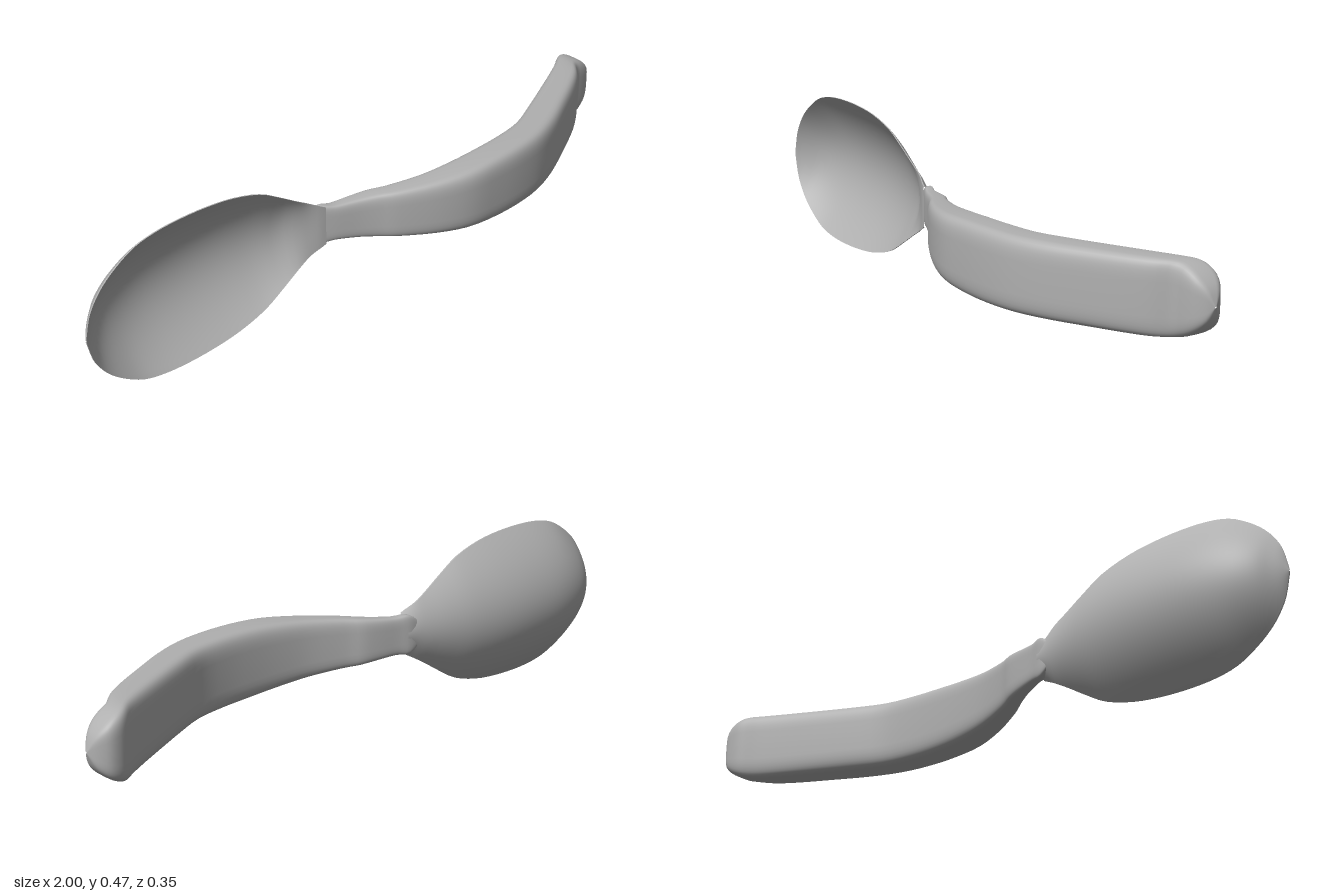
import * as THREE from 'three';

const CENTER_Y = 0.239;

// Smoothly resample a short table of stations, each row [x, ...values]
function resample(rows, steps) {
  const times = rows.map((_, i) => i);
  const spline = new THREE.CubicInterpolant(times, rows.flat(), rows[0].length);
  const out = [];
  for (let i = 0; i <= (rows.length - 1) * steps; i++) out.push([...spline.evaluate(i / steps)]);
  return out;
}

// Skin a list of cross-sections; each section is a list of [x, y, z]
function loft(sections, closed, flip = false) {
  const n = sections[0].length;
  const index = [];
  for (let i = 0; i < sections.length - 1; i++) {
    for (let j = 0; j < (closed ? n : n - 1); j++) {
      const k = (j + 1) % n;
      const a = i * n + j, b = i * n + k, c = a + n, d = b + n;
      if (flip) index.push(a, c, b, b, c, d);
      else index.push(a, b, c, b, d, c);
    }
  }
  const geo = new THREE.BufferGeometry();
  geo.setAttribute('position', new THREE.Float32BufferAttribute(sections.flat(2), 3));
  geo.setIndex(index);
  geo.computeVertexNormals();
  return geo;
}

export function createModel() {
  const group = new THREE.Group();
  const metal = new THREE.MeshStandardMaterial({ color: 0xb0b0b0 });
  metal.name = 'greyMetal';
  const add = (name, geo) => {
    const mesh = new THREE.Mesh(geo, metal);
    mesh.name = name;
    group.add(mesh);
  };

  // Bowl stations: x, half width, z of the back
  const bowl = resample([
    [-1, 0.002, -0.052], [-0.985, 0.065, -0.07], [-0.965, 0.105, -0.09], [-0.935, 0.143, -0.118],
    [-0.89, 0.18, -0.143], [-0.83, 0.214, -0.161], [-0.76, 0.23, -0.172], [-0.68, 0.235, -0.175],
    [-0.59, 0.232, -0.171], [-0.5, 0.22, -0.159], [-0.41, 0.193, -0.139], [-0.34, 0.152, -0.117],
    [-0.28, 0.113, -0.096], [-0.23, 0.083, -0.079], [-0.19, 0.061, -0.068],
  ], 3);
  const rim = (x) => -0.047 + 0.016 * THREE.MathUtils.smoothstep(x, -0.25, -0.18);

  // Parabolic section between the rim and the deepest point
  const bowlSections = (inner) => bowl.map(([x, w, back]) => {
    const top = rim(x);
    const fade = 1 - THREE.MathUtils.smoothstep(x, -0.32, -0.2);
    const edge = inner ? top : top - 0.004;
    const bottom = inner ? top - Math.max(0, top - back - 0.01) * fade : back;
    return Array.from({ length: 33 }, (_, j) => {
      const s = j / 16 - 1;
      return [x, CENTER_Y + w * s, edge + (bottom - edge) * (1 - s * s)];
    });
  });
  const outer = bowlSections(false), inside = bowlSections(true);
  add('bowlBack', loft(outer, false));
  add('bowlInside', loft(inside, false, true));

  // Thin rim joining the two bowl faces
  for (const [name, j, flip] of [['upperRim', 32, false], ['lowerRim', 0, true]]) {
    add(name, loft(outer.map((s, i) => [s[j], inside[i][j]]), false, flip));
  }

  // Handle stations: x, half height, z of the back, z of the front
  const handle = resample([
    [-0.24, 0.03, -0.072, -0.058], [-0.2, 0.06, -0.07, -0.038], [-0.16, 0.058, -0.057, -0.017],
    [-0.1, 0.064, -0.042, 0.012], [-0.05, 0.071, -0.026, 0.042], [0, 0.077, 0, 0.077],
    [0.1, 0.088, 0.034, 0.13], [0.2, 0.098, 0.05, 0.164], [0.3, 0.104, 0.055, 0.171],
    [0.4, 0.106, 0.051, 0.168], [0.5, 0.106, 0.034, 0.153], [0.6, 0.106, -0.01, 0.117],
    [0.7, 0.106, -0.058, 0.065], [0.8, 0.106, -0.107, 0.01], [0.86, 0.105, -0.139, -0.03],
    [0.9, 0.101, -0.165, -0.068], [0.93, 0.091, -0.175, -0.077], [0.96, 0.071, -0.172, -0.086],
    [0.985, 0.042, -0.152, -0.104], [1, 0.002, -0.127, -0.123],
  ], 3);

  // Rounded-rectangle section, one ring per station
  const round = (v) => Math.sign(v) * Math.abs(v) ** 0.45;
  add('handle', loft(handle.map(([x, h, back, front]) =>
    Array.from({ length: 40 }, (_, j) => {
      const a = (j / 40) * Math.PI * 2;
      return [x, CENTER_Y + h * round(Math.cos(a)),
        (back + front) / 2 + ((front - back) / 2) * round(Math.sin(a))];
    })), true));

  return group;
}
